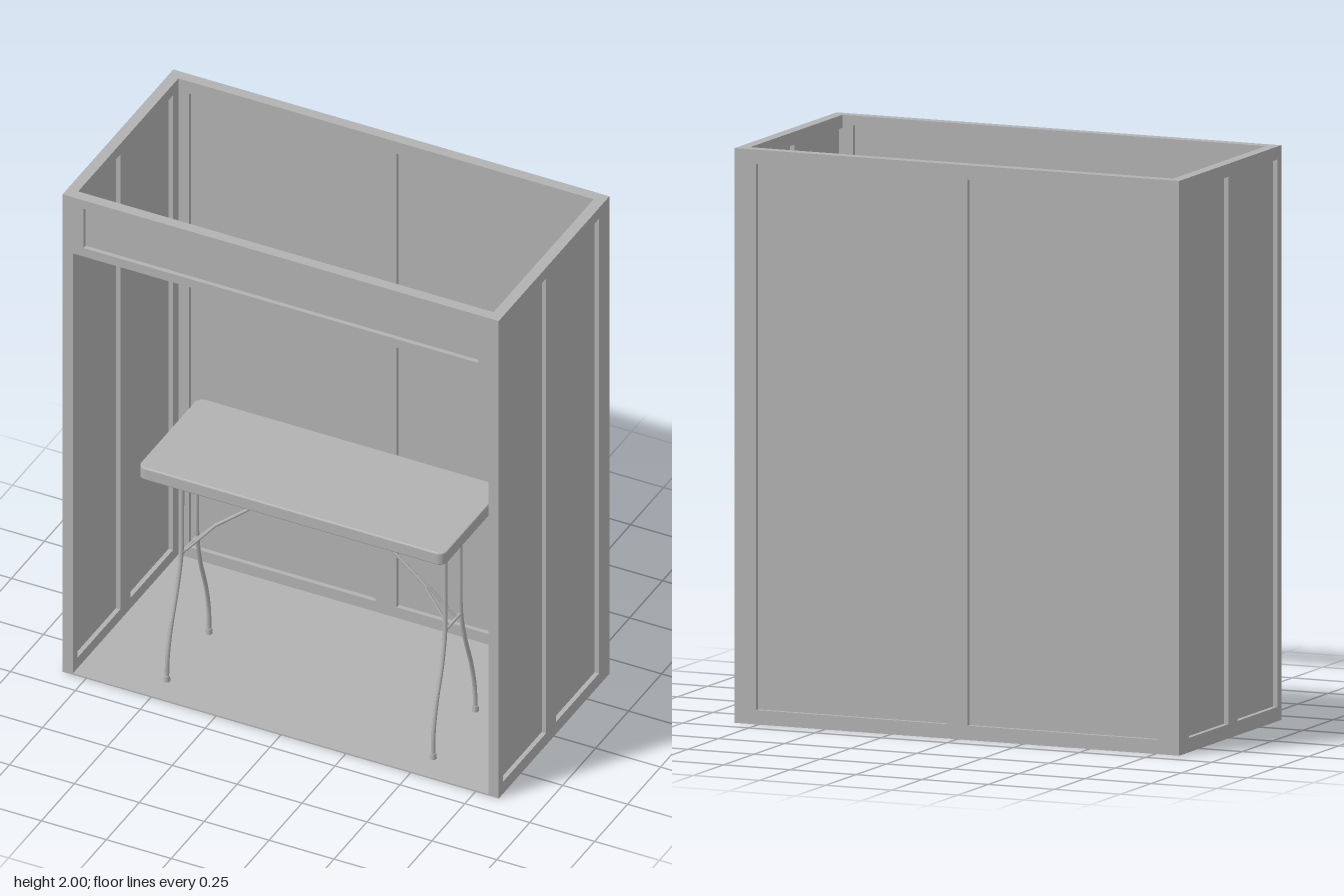
import * as THREE from 'three';

const grey = new THREE.MeshStandardMaterial({ color: 0xb2b2b2 });
grey.name = 'grey';

const T = 0.04; // wall thickness

function add(parent, geometry, name) {
  const mesh = new THREE.Mesh(geometry, grey);
  mesh.name = name;
  parent.add(mesh);
  return mesh;
}

function rectPoints(x0, x1, y0, y1) {
  return [[x0, y0], [x1, y0], [x1, y1], [x0, y1]].map(([x, y]) => new THREE.Vector2(x, y));
}

// Framed wall: a pierced frame with a thin panel recessed on both faces
function framedWall(name, x0, x1, y0, y1, openings) {
  const wall = new THREE.Group();
  wall.name = name;
  const shape = new THREE.Shape(rectPoints(x0, x1, y0, y1));
  for (const o of openings) shape.holes.push(new THREE.Path(rectPoints(...o)));
  add(wall, new THREE.ExtrudeGeometry(shape, { depth: T, bevelEnabled: false }), name + 'Frame');
  for (const [a, b, c, d] of openings) {
    const panel = add(wall, new THREE.BoxGeometry(b - a, d - c, 0.006), name + 'Panel');
    panel.position.set((a + b) / 2, (c + d) / 2, T / 2);
  }
  return wall;
}

// Smooth round tube through points
function tube(points, radius, segments, curved) {
  const v = points.map((p) => new THREE.Vector3(...p));
  const path = curved ? new THREE.CatmullRomCurve3(v, false, 'centripetal') : new THREE.LineCurve3(v[0], v[1]);
  return new THREE.TubeGeometry(path, segments, radius, 10);
}

function makeTable() {
  const table = new THREE.Group();
  table.name = 'foldingTable';
  const W = 0.59, D = 0.2325, r = 0.025, bevel = 0.005;

  // Tabletop with rounded corners and a softened rim
  const w = W - bevel, d = D - bevel;
  const s = new THREE.Shape();
  s.absarc(w - r, d - r, r, 0, Math.PI / 2);
  s.absarc(-w + r, d - r, r, Math.PI / 2, Math.PI);
  s.absarc(-w + r, -d + r, r, Math.PI, Math.PI * 1.5);
  s.absarc(w - r, -d + r, r, Math.PI * 1.5, Math.PI * 2);
  const top = new THREE.ExtrudeGeometry(s, {
    depth: 0.04, bevelEnabled: true, bevelSize: bevel, bevelThickness: bevel, bevelSegments: 2, curveSegments: 6,
  });
  top.rotateX(-Math.PI / 2);
  add(table, top, 'tableTop').position.y = 0.88;

  for (const side of [-1, 1]) {
    const legs = new THREE.Group();
    legs.name = side < 0 ? 'rightLegs' : 'leftLegs';
    for (const f of [-1, 1]) {
      // Bent leg splaying towards the foot
      const leg = [[0.506, 0.88, 0.057], [0.507, 0.68, 0.057], [0.508, 0.48, 0.06], [0.51, 0.36, 0.085],
        [0.511, 0.22, 0.132], [0.512, 0.11, 0.156], [0.513, 0.01, 0.16]];
      add(legs, tube(leg.map(([x, y, z]) => [side * x, y, f * z]), 0.008, 28, true), 'leg');
      const foot = add(legs, new THREE.CylinderGeometry(0.011, 0.013, 0.028, 12), 'foot');
      foot.position.set(side * 0.513, 0.014, f * 0.16);
      // Forked end of the folding brace
      add(legs, tube([[side * 0.505, 0.475, f * 0.03], [side * 0.405, 0.593, f * 0.008]], 0.005, 1), 'braceFork');
    }
    for (const y of [0.475, 0.865]) {
      add(legs, tube([[side * 0.508, y, -0.06], [side * 0.508, y, 0.06]], 0.006, 1), 'crossbar');
    }
    // Folding brace up to the tabletop
    add(legs, tube([[side * 0.41, 0.587, 0], [side * 0.065, 0.878, 0]], 0.006, 1), 'brace');
    table.add(legs);
  }
  table.position.set(0.02, 0, 0.1525);
  return table;
}

export function createModel() {
  const model = new THREE.Group();
  model.name = 'booth';

  // Back wall with two tall panels
  const back = framedWall('backWall', -0.84, 0.84, 0, 2, [[-0.76, -0.04, 0.05, 1.95], [0.04, 0.76, 0.05, 1.95]]);
  back.position.z = -0.42;
  model.add(back);

  // Side walls
  for (const side of [-1, 1]) {
    const wall = framedWall(side < 0 ? 'rightWall' : 'leftWall', -0.38, 0.42, 0, 2,
      [[-0.34, -0.015, 0.05, 1.955], [0.06, 0.387, 0.05, 1.955]]);
    wall.rotation.y = -Math.PI / 2;
    wall.position.x = side < 0 ? -0.8 : 0.84;
    model.add(wall);
  }

  // Header over the open front
  const header = framedWall('header', -0.8, 0.8, 1.765, 2, [[-0.76, 0.76, 1.8, 1.965]]);
  header.position.z = 0.38;
  model.add(header);

  // Floor sheet
  add(model, new THREE.BoxGeometry(1.6, 0.006, 0.8), 'floor').position.set(0, 0.003, 0.02);

  model.add(makeTable());
  return model;
}
